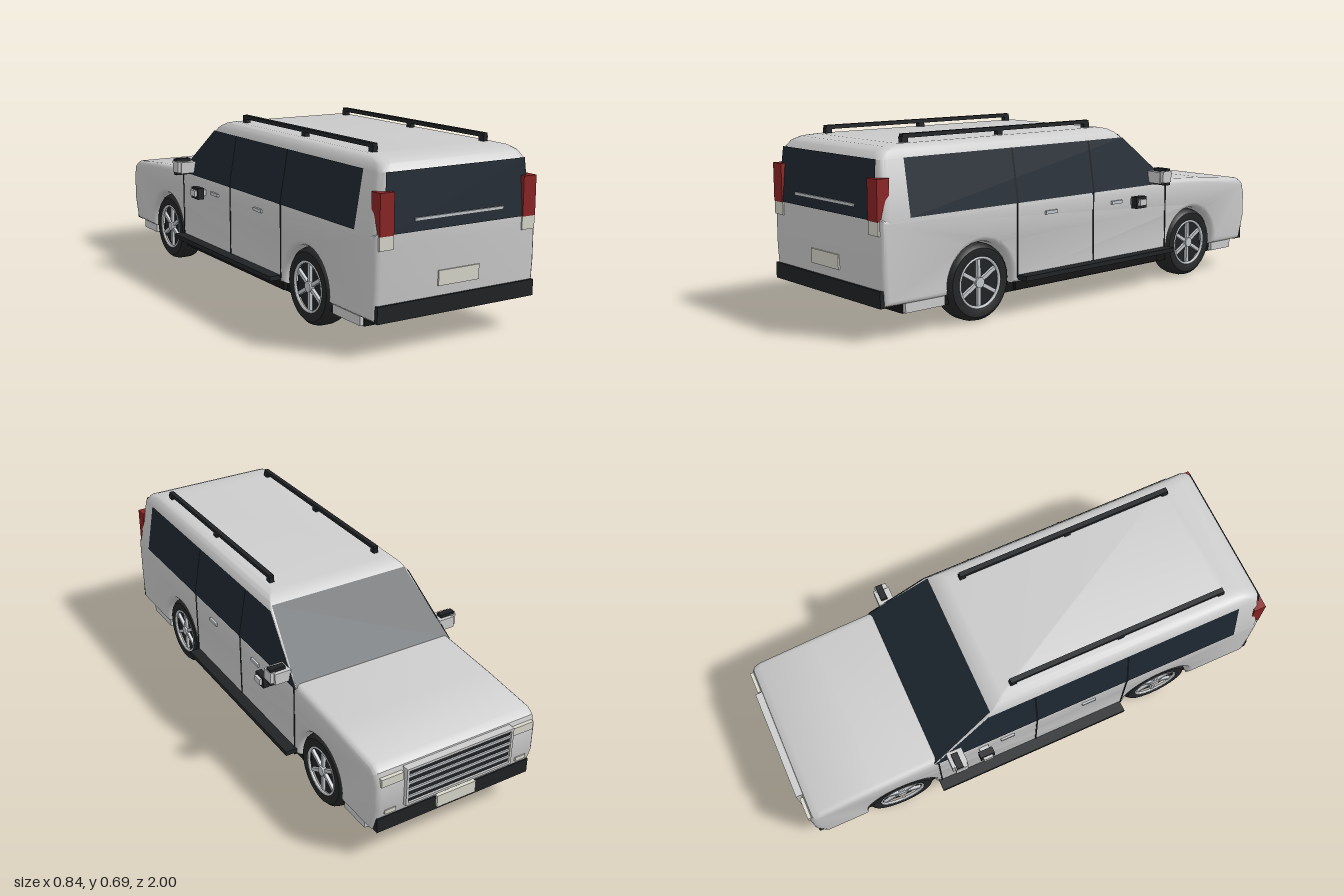
import * as THREE from 'three';
import { toCreasedNormals } from 'three/addons/utils/BufferGeometryUtils.js';

const mat = (color, side = THREE.FrontSide) => new THREE.MeshStandardMaterial({ color, side });
const paint = mat(0xcccccc), black = mat(0x202224), tyreMat = mat(0x242526), under = mat(0x151515);
const glass = mat(0x1e2831, THREE.DoubleSide), red = mat(0x8b2424), pale = mat(0xd8d8cc), silver = mat(0xc4c8cc);

const FRONT_AXLE = -0.61, REAR_AXLE = 0.56, AXLE_Y = 0.145;
const cabinHalf = (y) => 0.35 - (y - 0.42) * 0.175; // tumblehome
const screenZ = (y) => -0.455 + (y - 0.42) * 1.233; // windscreen rake
const tailZ = (y) => 0.995 - Math.max(0, y - 0.42) * 0.1;

function add(parent, name, geometry, material, x = 0, y = 0, z = 0) {
  const mesh = new THREE.Mesh(geometry, material);
  mesh.name = name;
  mesh.position.set(x, y, z);
  parent.add(mesh);
  return mesh;
}

// Box given by its extents
function box(parent, name, material, x0, x1, y0, y1, z0, z1) {
  return add(parent, name, new THREE.BoxGeometry(Math.abs(x1 - x0), y1 - y0, Math.abs(z1 - z0)), material,
    (x0 + x1) / 2, (y0 + y1) / 2, (z0 + z1) / 2);
}

// Flat panel from a convex loop of corners
function panel(parent, name, material, corners) {
  const g = new THREE.BufferGeometry().setFromPoints(corners.map((c) => new THREE.Vector3(...c)));
  const index = [];
  for (let i = 1; i < corners.length - 1; i++) index.push(0, i, i + 1);
  g.setIndex(index);
  g.computeVertexNormals();
  return add(parent, name, g, material);
}

// Lower body: side profile with wheel arches, bevelled across the width
function lowerBodyGeometry() {
  const s = new THREE.Shape();
  s.moveTo(-0.955, 0.12);
  for (const c of [FRONT_AXLE, REAR_AXLE]) {
    s.lineTo(c - 0.15, 0.12);
    s.absarc(c, AXLE_Y, 0.15, Math.PI, 0, true);
    s.lineTo(c + 0.15, 0.12);
  }
  for (const [z, y] of [[0.985, 0.12], [0.993, 0.25], [0.993, 0.425], [-0.44, 0.434], [-0.7, 0.418],
    [-0.94, 0.396], [-0.97, 0.375], [-0.985, 0.33], [-0.985, 0.22]]) s.lineTo(z, y);
  s.closePath();
  const g = new THREE.ExtrudeGeometry(s, {
    depth: 0.65, bevelThickness: 0.025, bevelSize: 0.02, bevelOffset: -0.02, bevelSegments: 3, curveSegments: 20,
  });
  g.translate(0, 0, -0.325);
  g.rotateY(-Math.PI / 2);
  return toCreasedNormals(g, 0.6);
}

// Cabin: stacked rounded rectangles, sharp at the windscreen pillars
function cabinGeometry() {
  const levels = [
    [0.38, 0.349, -0.504, 0.993], [0.42, 0.349, screenZ(0.42), 0.993], [0.62, cabinHalf(0.62), screenZ(0.62), 0.974],
    [0.645, 0.302, screenZ(0.645), 0.955], [0.659, 0.288, -0.15, 0.92], [0.665, 0.265, -0.125, 0.86],
  ];
  const pos = [], index = [], seg = 4, n = 4 * (seg + 1);
  for (const [y, hw, zf, zb] of levels) {
    for (let q = 0; q < 4; q++) {
      const r = q < 2 ? 0.035 : 0.006;
      const cx = (q === 0 || q === 3 ? 1 : -1) * (hw - r), cz = q < 2 ? zb - r : zf + r;
      for (let k = 0; k <= seg; k++) {
        const a = (q + k / seg) * Math.PI / 2;
        pos.push(cx + r * Math.cos(a), y, cz + r * Math.sin(a));
      }
    }
  }
  for (let i = 0; i < levels.length - 1; i++) {
    for (let j = 0; j < n; j++) {
      const a = i * n + j, b = i * n + (j + 1) % n;
      index.push(a, a + n, b + n, a, b + n, b);
    }
  }
  const top = (levels.length - 1) * n;
  for (let j = 1; j < n - 1; j++) index.push(top, top + j + 1, top + j);
  const g = new THREE.BufferGeometry();
  g.setAttribute('position', new THREE.Float32BufferAttribute(pos, 3));
  g.setIndex(index);
  return toCreasedNormals(g, 0.55);
}

// Wheel with its outer face towards +x
function makeWheel() {
  const wheel = new THREE.Group();
  wheel.name = 'wheel';
  const profile = [[0.09, 0.045], [0.1, 0.05], [0.128, 0.05], [0.14, 0.038], [0.145, 0.02], [0.145, -0.02],
    [0.14, -0.038], [0.128, -0.05], [0.09, -0.05]].reverse().map(([r, h]) => new THREE.Vector2(r, h));
  const tyre = toCreasedNormals(new THREE.LatheGeometry(profile, 32), 0.6);
  add(wheel, 'tyre', tyre.rotateZ(-Math.PI / 2), tyreMat);
  add(wheel, 'wheelDisc', new THREE.CylinderGeometry(0.095, 0.095, 0.08, 32).rotateZ(Math.PI / 2), black, -0.008);
  add(wheel, 'rim', new THREE.TorusGeometry(0.092, 0.006, 6, 32).rotateY(Math.PI / 2), silver, 0.045);
  add(wheel, 'hub', new THREE.CylinderGeometry(0.02, 0.02, 0.02, 12).rotateZ(Math.PI / 2), silver, 0.04);
  for (let i = 0; i < 6; i++) {
    const spoke = new THREE.BoxGeometry(0.012, 0.08, 0.014).translate(0, 0.05, 0).rotateX(i * Math.PI / 3);
    add(wheel, 'spoke', spoke, silver, 0.038);
  }
  return wheel;
}

// Everything that repeats on both flanks
function addSide(car, s) {
  const glassX = (y) => s * (cabinHalf(y) + 0.002);
  const outline = [[0.42, 0.875], [0.622, 0.875], [0.622, screenZ(0.622)], [0.42, screenZ(0.42)]];
  panel(car, 'sideWindow', glass, outline.map(([y, z]) => [glassX(y), y, z]));

  // Door gaps and window dividers
  for (const z of [0.388, -0.01, -0.437]) box(car, 'doorGap', black, s * 0.34, s * 0.352, 0.14, 0.42, z - 0.003, z + 0.003);
  for (const z of [0.388, -0.01]) {
    panel(car, 'windowDivider', mat(0x101417, THREE.DoubleSide), [[0.42, z - 0.004], [0.622, z - 0.004], [0.622, z + 0.004], [0.42, z + 0.004]]
      .map(([y, zz]) => [glassX(y) + s * 0.002, y, zz]));
  }
  for (const z of [0.22, -0.14]) box(car, 'doorHandle', silver, s * 0.345, s * 0.358, 0.363, 0.376, z - 0.03, z + 0.03);

  // Running board
  box(car, 'runningBoard', black, s * 0.33, s * 0.395, 0.132, 0.15, -0.45, 0.385);

  // Upper mirror and lower small mirror
  box(car, 'mirrorShell', black, s * 0.355, s * 0.42, 0.422, 0.49, -0.385, -0.358);
  box(car, 'mirrorBody', paint, s * 0.34, s * 0.408, 0.43, 0.477, -0.4, -0.335);
  box(car, 'mirrorCap', paint, s * 0.4, s * 0.422, 0.434, 0.48, -0.39, -0.34);
  box(car, 'lowerMirrorShell', black, s * 0.365, s * 0.392, 0.338, 0.385, -0.275, -0.215);
  box(car, 'lowerMirrorBody', paint, s * 0.34, s * 0.403, 0.35, 0.375, -0.265, -0.225);

  // Roof rail on three posts
  box(car, 'roofRail', black, s * 0.23, s * 0.25, 0.68, 0.695, -0.08, 0.83);
  for (const z of [-0.07, 0.385, 0.82]) box(car, 'railPost', black, s * 0.23, s * 0.25, 0.655, 0.685, z - 0.013, z + 0.013);

  // Lamps
  box(car, 'tailLight', red, s * 0.278, s * 0.335, 0.415, 0.56, 0.95, 1);
  box(car, 'reverseLight', pale, s * 0.278, s * 0.335, 0.367, 0.415, 0.95, 0.998);
  box(car, 'lowerRearLight', silver, s * 0.17, s * 0.25, 0.1, 0.119, 0.89, 0.91);
  box(car, 'headlight', pale, s * 0.24, s * 0.33, 0.325, 0.358, -0.99, -0.95);
  box(car, 'fogLight', pale, s * 0.265, s * 0.31, 0.2, 0.217, -0.988, -0.95);

  // Skirts fore and aft of the wheels
  box(car, 'rearSkirt', paint, s * 0.3, s * 0.335, 0.087, 0.14, 0.72, 0.89);
  box(car, 'frontSkirt', paint, s * 0.3, s * 0.335, 0.087, 0.14, -0.9, -0.77);

  for (const z of [FRONT_AXLE, REAR_AXLE]) {
    const wheel = makeWheel();
    wheel.position.set(s * 0.29, AXLE_Y, z);
    if (s < 0) wheel.rotation.y = Math.PI;
    car.add(wheel);
  }
}

export function createModel() {
  const car = new THREE.Group();
  car.name = 'car';
  add(car, 'lowerBody', lowerBodyGeometry(), paint);
  add(car, 'cabin', cabinGeometry(), paint);

  // Underside and dark wheel wells
  box(car, 'floor', under, -0.32, 0.32, 0.084, 0.125, -0.9, 0.895);
  box(car, 'sill', under, -0.335, 0.335, 0.09, 0.13, -0.41, 0.385);
  for (const z of [FRONT_AXLE, REAR_AXLE]) box(car, 'wheelWell', under, -0.235, 0.235, 0.1, 0.31, z - 0.17, z + 0.17);

  // Windscreen and rear window
  const across = (z, offset, rows) => [[-1, 0], [1, 0], [1, 1], [-1, 1]]
    .map(([s, i]) => [s * rows[i][1], rows[i][0], z(rows[i][0]) + offset]);
  panel(car, 'windscreen', glass, across(screenZ, -0.004, [[0.425, 0.348], [0.636, 0.303]]));
  panel(car, 'rearWindow', glass, across(tailZ, 0.002, [[0.417, 0.312], [0.622, 0.298]]));
  box(car, 'rearTrimBar', silver, -0.19, 0.19, 0.452, 0.463, 0.98, 0.998);

  // Bumpers and plates
  box(car, 'rearBumper', black, -0.34, 0.34, 0.12, 0.18, 0.94, 0.998);
  box(car, 'frontBumper', black, -0.335, 0.335, 0.12, 0.18, -0.978, -0.93);
  box(car, 'rearPlate', pale, -0.088, 0.088, 0.216, 0.27, 0.98, 0.998);
  box(car, 'frontPlate', pale, -0.085, 0.085, 0.135, 0.185, -0.988, -0.95);

  // Grille: dark panel, frame and slats
  box(car, 'grillePanel', black, -0.225, 0.225, 0.215, 0.365, -0.992, -0.95);
  for (const y of [0.212, 0.36]) box(car, 'grilleFrame', paint, -0.232, 0.232, y, y + 0.01, -1, -0.96);
  for (const s of [-1, 1]) box(car, 'grilleFrame', paint, s * 0.222, s * 0.232, 0.212, 0.37, -1, -0.96);
  for (let i = 0; i < 4; i++) box(car, 'grilleSlat', silver, -0.222, 0.222, 0.24 + i * 0.03, 0.25 + i * 0.03, -0.998, -0.97);

  for (const s of [-1, 1]) addSide(car, s);
  return car;
}
